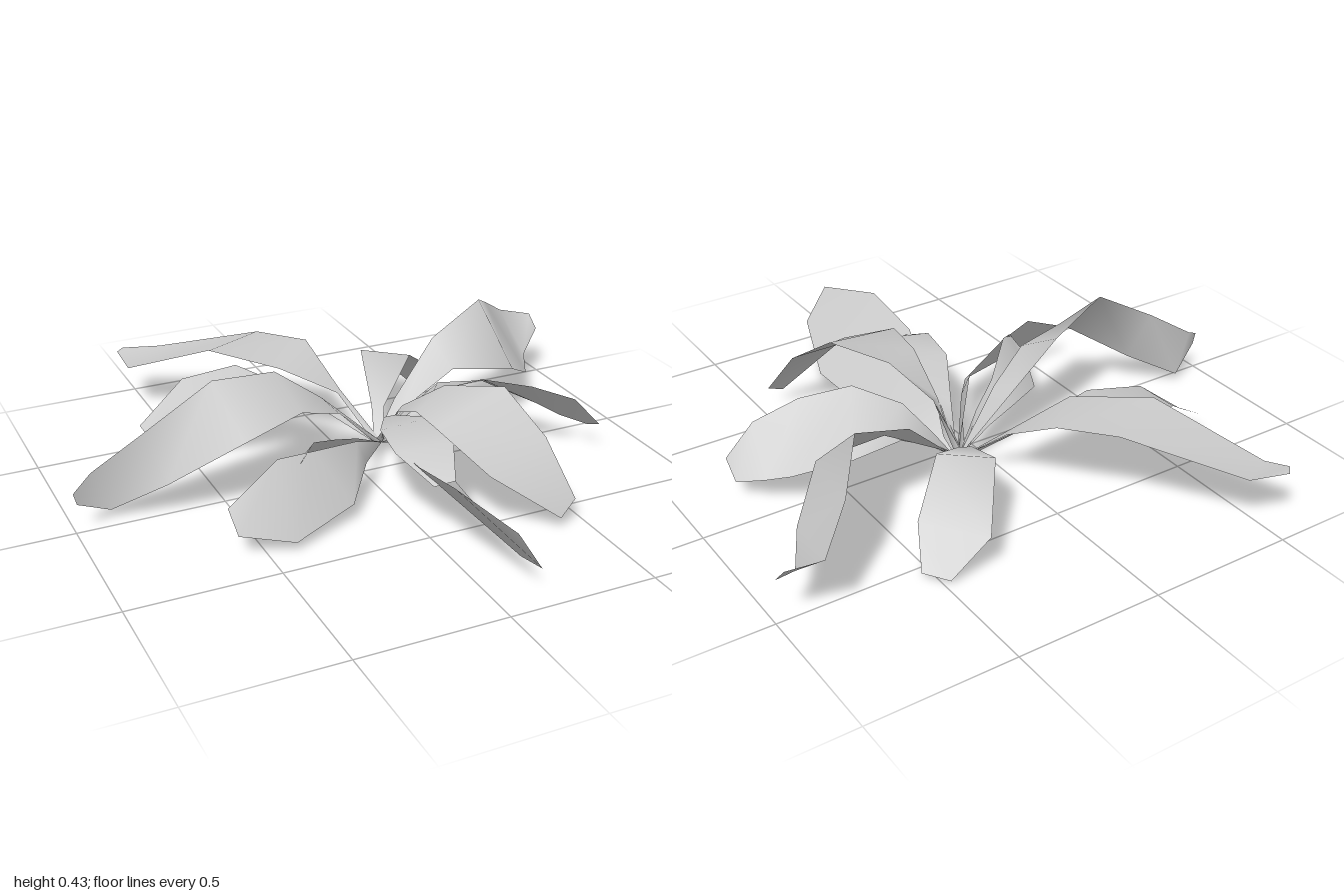
import * as THREE from 'three';

// Shared root from which every stalk grows
const ROOT_A = [0.10, 0.04, -0.115];
const ROOT_B = [0.125, 0.04, -0.105];

// A leaf is a ribbon between two edges, given from the stalk to the blunt tip
function makeLeaf(name, edgeA, edgeB, material) {
  const a = [ROOT_A, ...edgeA];
  const b = [ROOT_B, ...edgeB];
  const positions = [];
  const index = [];
  a.forEach((p, i) => positions.push(...p, ...b[i]));
  for (let i = 0; i < a.length - 1; i++) {
    const k = i * 2;
    index.push(k, k + 1, k + 2, k + 1, k + 3, k + 2);
  }
  const geometry = new THREE.BufferGeometry();
  geometry.setAttribute('position', new THREE.Float32BufferAttribute(positions, 3));
  geometry.setIndex(index);
  geometry.computeVertexNormals();
  const mesh = new THREE.Mesh(geometry, material);
  mesh.name = name;
  return mesh;
}

export function createModel() {
  const plant = new THREE.Group();
  plant.name = 'plant';
  const leafGrey = new THREE.MeshStandardMaterial({ color: 0xcccccc, side: THREE.DoubleSide });
  leafGrey.name = 'leaf grey';
  const leaf = (name, edgeA, edgeB) => plant.add(makeLeaf(name, edgeA, edgeB, leafGrey));

  // Back leaves
  leaf('backRightLongLeaf',
    [[0.02, 0.19, -0.25], [-0.17, 0.29, -0.32], [-0.36, 0.32, -0.51], [-0.57, 0.17, -0.82], [-0.58, 0.20, -0.92]],
    [[0.04, 0.19, -0.27], [0.00, 0.31, -0.48], [-0.13, 0.31, -0.63], [-0.42, 0.20, -0.91], [-0.55, 0.20, -0.95]]);
  leaf('backLeftShortLeaf',
    [[0.13, 0.14, -0.20], [0.20, 0.25, -0.44], [0.35, 0.13, -0.64], [0.48, 0.01, -0.62]],
    [[0.17, 0.14, -0.18], [0.34, 0.25, -0.32], [0.49, 0.13, -0.45], [0.54, 0.02, -0.55]]);

  // Leaves on the model's right (-x)
  leaf('rightBackLeaf',
    [[-0.05, 0.15, -0.22], [-0.33, 0.21, -0.21], [-0.52, 0.19, -0.26], [-0.64, 0.10, -0.34]],
    [[-0.03, 0.17, -0.24], [-0.28, 0.27, -0.46], [-0.47, 0.24, -0.49], [-0.65, 0.12, -0.43]]);
  leaf('rightLongLeaf',
    [[-0.07, 0.22, -0.03], [-0.24, 0.29, 0.05], [-0.47, 0.27, 0.14], [-0.70, 0.12, 0.03], [-0.87, 0.03, -0.05], [-0.99, 0.10, 0.0]],
    [[-0.10, 0.25, -0.12], [-0.27, 0.38, -0.11], [-0.52, 0.43, -0.02], [-0.76, 0.29, -0.02], [-0.93, 0.18, -0.04], [-1.0, 0.14, 0.0]]);
  leaf('rightSmallLeaf',
    [[-0.02, 0.13, 0.0], [-0.13, 0.18, 0.07], [-0.26, 0.25, 0.19], [-0.33, 0.22, 0.25]],
    [[-0.05, 0.08, -0.04], [-0.18, 0.10, 0.0], [-0.33, 0.08, 0.09], [-0.36, 0.16, 0.20]]);
  leaf('frontRightLeaf',
    [[-0.05, 0.11, 0.14], [-0.17, 0.06, 0.30], [-0.41, 0.03, 0.40], [-0.59, 0.08, 0.37]],
    [[-0.08, 0.19, 0.13], [-0.27, 0.23, 0.21], [-0.41, 0.25, 0.25], [-0.60, 0.15, 0.31]]);

  // Leaves on the model's left (+x)
  leaf('leftLongLeaf',
    [[0.22, 0.15, -0.20], [0.40, 0.33, -0.26], [0.62, 0.42, -0.32], [0.75, 0.33, -0.49], [0.88, 0.24, -0.60], [0.99, 0.22, -0.56]],
    [[0.22, 0.13, -0.14], [0.42, 0.25, -0.14], [0.65, 0.22, -0.11], [0.80, 0.12, -0.26], [0.90, 0.11, -0.44], [1.0, 0.17, -0.52]]);
  leaf('leftFrontLeaf',
    [[0.20, 0.12, -0.12], [0.36, 0.21, -0.14], [0.53, 0.19, -0.13], [0.69, 0.12, -0.01], [0.75, 0.09, 0.06], [0.82, 0.07, 0.13]],
    [[0.19, 0.14, -0.06], [0.27, 0.25, 0.0], [0.40, 0.31, 0.10], [0.56, 0.28, 0.17], [0.71, 0.22, 0.21], [0.81, 0.11, 0.22]]);

  // Front leaves
  leaf('frontLongLeaf',
    [[0.17, 0.06, -0.03], [0.21, 0.07, 0.12], [0.21, 0.02, 0.47], [0.20, 0.0, 0.72], [0.13, 0.10, 0.95]],
    [[0.13, 0.09, -0.03], [0.07, 0.16, 0.12], [-0.03, 0.24, 0.45], [-0.03, 0.28, 0.70], [0.05, 0.23, 0.94]]);
  leaf('frontLeftLeaf',
    [[0.15, 0.22, 0.0], [0.24, 0.33, 0.13], [0.37, 0.37, 0.30], [0.43, 0.25, 0.47], [0.47, 0.08, 0.60]],
    [[0.12, 0.21, 0.02], [0.09, 0.30, 0.22], [0.08, 0.31, 0.37], [0.17, 0.21, 0.57], [0.40, 0.04, 0.63]]);
  leaf('frontShortLeaf',
    [[0.12, 0.19, 0.0], [0.16, 0.26, 0.20], [0.13, 0.27, 0.40], [0.07, 0.20, 0.53]],
    [[0.08, 0.19, 0.0], [-0.03, 0.25, 0.20], [-0.06, 0.25, 0.37], [0.0, 0.19, 0.52]]);

  // Make every leaf's front face its upper side
  for (const mesh of plant.children) {
    const normals = mesh.geometry.attributes.normal;
    let up = 0;
    for (let i = 0; i < normals.count; i++) up += normals.getY(i);
    if (up < 0) {
      mesh.geometry.index.array.reverse();
      mesh.geometry.computeVertexNormals();
    }
  }
  return plant;
}
